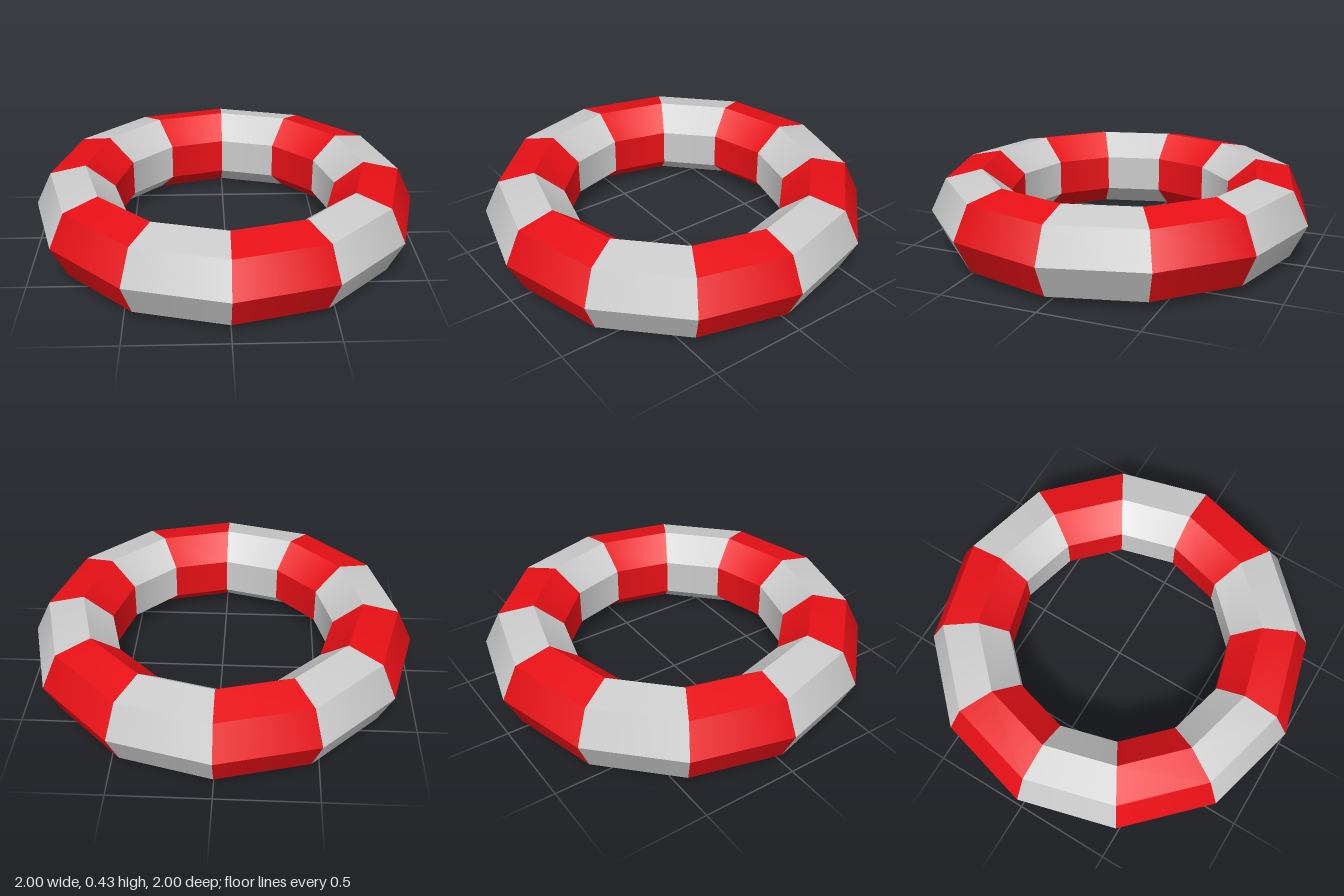
import * as THREE from 'three';
import { mergeGeometries } from 'three/addons/utils/BufferGeometryUtils.js';

const SEGMENTS = 12;   // wedges around the ring
const SIDES = 7;       // sides of the tube section
const RING = 0.78;
const TUBE = 0.22;
const STEP = (Math.PI * 2) / SEGMENTS;

// Corner k of the heptagonal tube section, resting on y = 0
function corner(k) {
  const a = (k / SIDES) * Math.PI * 2;
  const lift = TUBE * Math.sin((2 / SIDES) * Math.PI * 2);
  return new THREE.Vector2(RING + TUBE * Math.cos(a), lift + TUBE * Math.sin(a));
}

// One wedge: a strip per side, creased along the section and smooth around the ring
function wedgeGeometry() {
  const strips = [];
  for (let k = 0; k < SIDES; k++) {
    strips.push(new THREE.LatheGeometry([corner(k), corner(k + 1)], 1, 0, STEP));
  }
  return mergeGeometries(strips);
}

export function createModel() {
  const group = new THREE.Group();
  group.name = 'lifebuoyRing';
  const red = new THREE.MeshStandardMaterial({ color: 0xe81016 });
  const grey = new THREE.MeshStandardMaterial({ color: 0xcccccc });
  const geometry = wedgeGeometry();

  // Alternating red and grey wedges
  for (let i = 0; i < SEGMENTS; i++) {
    const isRed = i % 2 === 0;
    const wedge = new THREE.Mesh(geometry, isRed ? red : grey);
    wedge.name = isRed ? 'redSegment' : 'greySegment';
    wedge.rotation.y = i * STEP;
    group.add(wedge);
  }
  return group;
}
